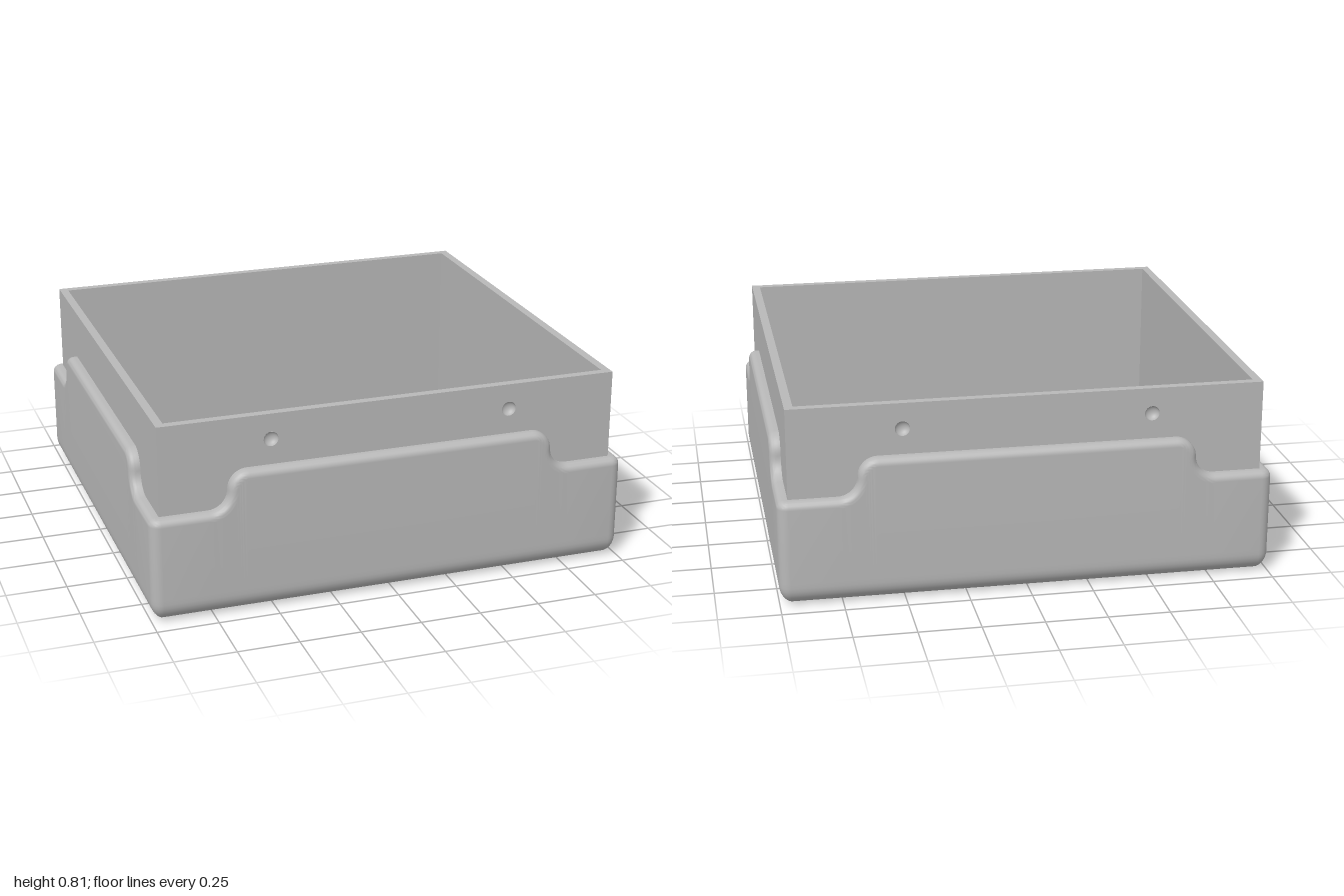
import * as THREE from 'three';
import { toCreasedNormals } from 'three/addons/utils/BufferGeometryUtils.js';

const HX = 0.955, HZ = 0.9;      // half size of the inner tray
const BAND = 0.045;              // thickness of the outer cover
const LOW = 0.44, STEP = 0.08;   // cover height at the corners, radius of the S curve
const FILLET = 0.03, FOOT = 0.08;
const TOP = 0.81, BASE = 0.01, FLOOR = 0.04;

// Half of one cover edge: S curve from the raised middle down to the corner.
// Each point is [u, height, normalU, normalY].
function edgeHalf(mid) {
  const pts = [], n = 10, y = LOW + STEP;
  for (let i = 0; i <= n; i++) {
    const a = (Math.PI / 2) * (1 - i / n), c = Math.cos(a), s = Math.sin(a);
    pts.push([mid - STEP + STEP * c, y + STEP * s, c, s]);
  }
  for (let i = 1; i <= n; i++) {
    const a = Math.PI + (Math.PI / 2) * (i / n), c = Math.cos(a), s = Math.sin(a);
    pts.push([mid + STEP + STEP * c, y + STEP * s, -c, -s]);
  }
  return pts;
}

// Walk round the cover: straight sides with their edge curve, then rounded corners.
function perimeter() {
  const out = [];
  for (let k = 0; k < 4; k++) {
    const th = k * Math.PI / 2;
    const nx = Math.round(Math.sin(th)), nz = Math.round(Math.cos(th));
    const half = edgeHalf(k % 2 ? 0.62 : 0.68);
    const side = [
      ...half.map(([u, y, a, b]) => [-u, y, -a, b]).reverse(),
      ...half,
    ];
    for (const [u, y, nu, ny] of side) {
      out.push({ x: nx * HX + nz * u, z: nz * HZ - nx * u, nx, nz, tx: nz, tz: -nx, y, nu, ny });
    }
    const cx = (nx + nz) * HX, cz = (nz - nx) * HZ;
    for (let i = 0; i <= 6; i++) {
      const t = th + (i / 6) * Math.PI / 2;
      out.push({ x: cx, z: cz, nx: Math.sin(t), nz: Math.cos(t), tx: 0, tz: 0, y: LOW, nu: 0, ny: 1 });
    }
  }
  return out;
}

function coverGeometry() {
  const path = perimeter(), n = path.length, steps = 8;
  // Rings from the inner lip, over the rounded rim, down to the rounded foot
  const rings = [{ inset: BAND, drop: 0 }];
  for (let i = 0; i <= steps; i++) {
    const t = (i / steps) * Math.PI / 2;
    rings.push({ inset: FILLET * (1 - Math.sin(t)), drop: FILLET * (1 - Math.cos(t)) });
  }
  rings.push({ inset: 0, drop: FILLET + 0.005 }, { inset: 0, y: FOOT + 0.02 });
  for (let i = 0; i <= steps; i++) {
    const t = (i / steps) * Math.PI / 2;
    rings.push({ inset: FOOT * (1 - Math.cos(t)), y: FOOT * (1 - Math.sin(t)) });
  }
  rings.push({ inset: FOOT + 0.02, y: 0 });

  const pos = [], idx = [], clamp = THREE.MathUtils.clamp;
  for (const r of rings) {
    const out = Math.max(BAND - r.inset, 0);
    const lx = HX + BAND - r.inset, lz = HZ + BAND - r.inset;
    for (const p of path) {
      const d = r.drop ?? 0;
      // the lower rings keep the outline of the filleted edge above them
      const shift = r.y === undefined ? d : FILLET + 0.005;
      const x = p.x + p.nx * out - p.tx * p.nu * shift;
      const z = p.z + p.nz * out - p.tz * p.nu * shift;
      pos.push(clamp(x, -lx, lx), r.y ?? p.y - p.ny * d, clamp(z, -lz, lz));
    }
  }
  for (let r = 0; r < rings.length - 1; r++) {
    for (let i = 0; i < n; i++) {
      const j = (i + 1) % n, a = r * n + i, b = r * n + j;
      idx.push(a, a + n, b + n, a, b + n, b);
    }
  }
  // Flat underside
  const last = (rings.length - 1) * n, centre = pos.length / 3;
  pos.push(0, 0, 0);
  for (let i = 0; i < n; i++) idx.push(last + i, centre, last + (i + 1) % n);

  const geo = new THREE.BufferGeometry();
  geo.setAttribute('position', new THREE.Float32BufferAttribute(pos, 3));
  geo.setIndex(idx);
  return toCreasedNormals(geo, 0.5);
}

function rectangle(target, x0, y0, x1, y1) {
  target.moveTo(x0, y0).lineTo(x1, y0).lineTo(x1, y1).lineTo(x0, y1).closePath();
  return target;
}

export function createModel() {
  const model = new THREE.Group();
  model.name = 'tray';
  const grey = new THREE.MeshStandardMaterial({ color: 0xb8b8b8, side: THREE.DoubleSide });
  grey.name = 'grey';
  const add = (parent, name, geo) => {
    const mesh = new THREE.Mesh(geo, grey);
    mesh.name = name;
    parent.add(mesh);
    return mesh;
  };

  add(model, 'outerCover', coverGeometry());

  // Inner tray: side walls and lining in one ring, plus a floor
  const skin = 0.025;
  const ring = rectangle(new THREE.Shape(), -HX, -HZ + skin, HX, HZ - skin);
  ring.holes.push(rectangle(new THREE.Path(), -0.92, -0.865, 0.92, 0.865));
  const walls = new THREE.ExtrudeGeometry(ring, { depth: TOP - BASE, bevelEnabled: false });
  add(model, 'trayWalls', walls.rotateX(-Math.PI / 2).translate(0, BASE, 0));
  add(model, 'trayFloor', new THREE.BoxGeometry(1.85, FLOOR - BASE, 1.74))
    .position.y = (FLOOR + BASE) / 2;

  // Front and back faces with two round dimples each
  const face = rectangle(new THREE.Shape(), -HX, BASE, HX, TOP);
  for (const x of [-0.5, 0.5]) {
    face.holes.push(new THREE.Path().absarc(x, 0.705, 0.03, 0, Math.PI * 2, true));
  }
  const faceGeo = new THREE.ExtrudeGeometry(face, { depth: skin, bevelEnabled: false, curveSegments: 24 });
  const dimpleGeo = new THREE.SphereGeometry(0.03, 24, 8, 0, Math.PI * 2, 0, Math.PI / 2)
    .rotateX(-Math.PI / 2).scale(1, 1, 0.8);
  for (const name of ['front', 'back']) {
    const panel = new THREE.Group();
    panel.name = name + 'Panel';
    panel.rotation.y = name === 'back' ? Math.PI : 0;
    add(panel, name + 'Face', faceGeo).position.z = HZ - skin;
    for (const x of [-0.5, 0.5]) {
      add(panel, name + 'Dimple', dimpleGeo).position.set(x, 0.705, HZ);
    }
    model.add(panel);
  }
  return model;
}
